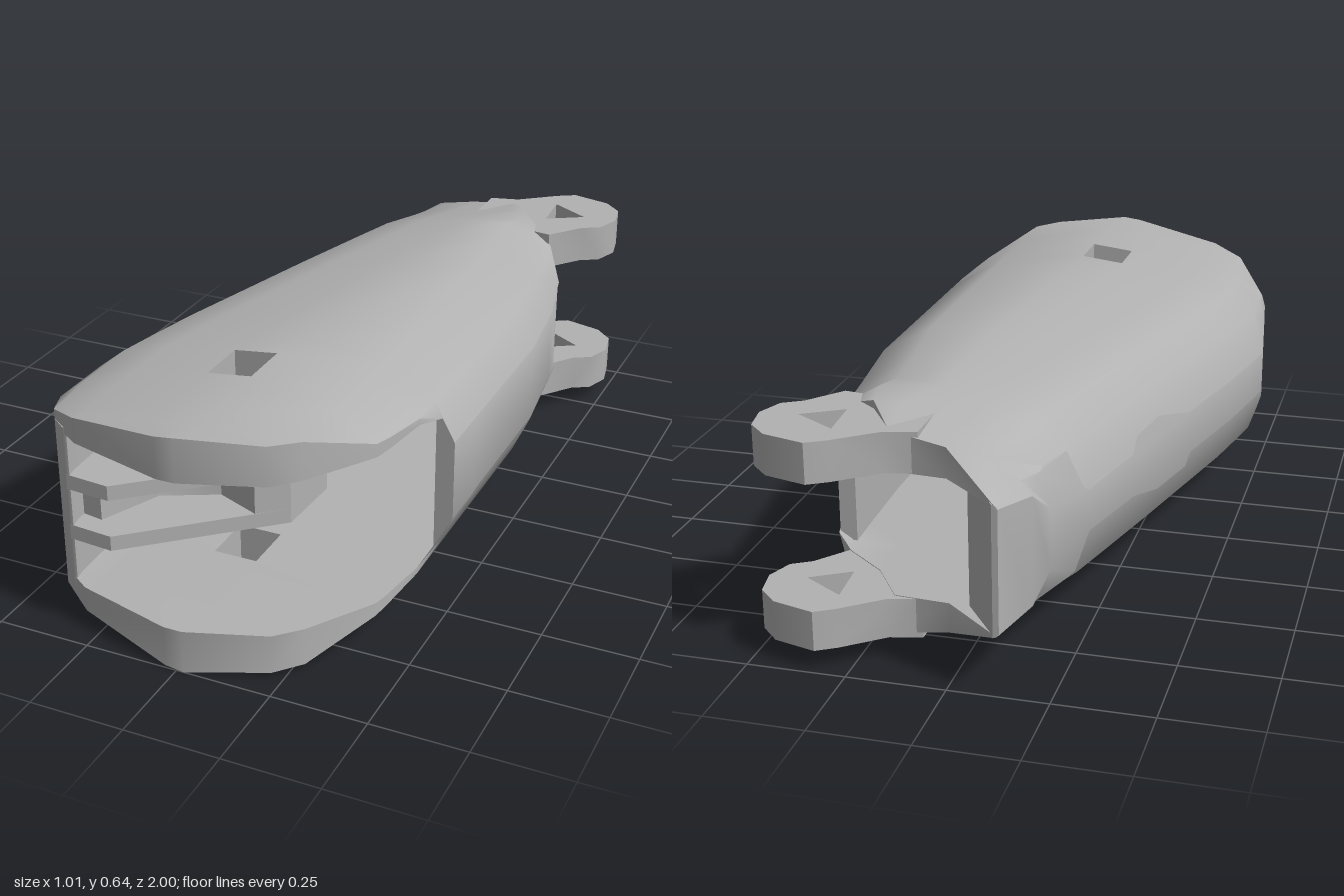
import * as THREE from 'three';
import { toCreasedNormals } from 'three/addons/utils/BufferGeometryUtils.js';

const MID = 0.32; // height of the mirror plane between upper and lower halves
const grey = new THREE.MeshStandardMaterial({ color: 0xb2b2b2 });
grey.name = 'plain grey';

// piecewise linear lookup in [[key, value], ...] with rising keys
function lookup(table, k) {
  if (k <= table[0][0]) return table[0][1];
  for (let i = 1; i < table.length; i++) {
    const [k0, v0] = table[i - 1], [k1, v1] = table[i];
    if (k <= k1) return v0 + (v1 - v0) * (k - k0) / (k1 - k0);
  }
  return table[table.length - 1][1];
}

// side lines of the casing before the nose is rounded off
const leftLine = z => lookup([[-1, -0.13], [-0.8, -0.2], [0.25, -0.46], [0.5, -0.51]], z);
const rightLine = z => lookup([[-0.75, 0.52], [-0.6, 0.425], [-0.45, 0.44], [-0.2, 0.47]], z);
const innerTop = z => lookup([[-0.6, 0.48], [0.42, 0.522]], z);

// rounded height of the outer skin, squarer towards the back tip
const leftCurve = [[0, 0.38], [0.035, 0.5], [0.11, 0.56], [0.23, 0.592], [0.52, 0.638]];
const rightCurve = [[0, 0.43], [0.05, 0.54], [0.19, 0.622], [0.42, 0.638]];
function skin(x, z) {
  const drop = lookup([[-1, 0.05], [-0.6, 0.005], [-0.3, 0]], z);
  const square = lookup([[-1, 0.07], [-0.75, 0]], z);
  return Math.min(lookup(leftCurve, x - leftLine(z) + square), lookup(rightCurve, rightLine(z) - x)) - drop;
}

// joins closed rings, running from front to back, with an optional square hole
function loft(rings, hole) {
  const n = rings[0].length, index = [];
  const quad = (a, b, c, d) => index.push(a, b, c, a, c, d);
  for (let k = 0; k < rings.length - 1; k++) {
    for (let j = 0; j < n; j++) {
      if (hole && k === hole.row && (j === hole.col || j === n - 2 - hole.col)) continue;
      const m = (j + 1) % n;
      quad(k * n + j, k * n + m, (k + 1) * n + m, (k + 1) * n + j);
    }
  }
  const last = (rings.length - 1) * n;
  for (let j = 1; j < n - 1; j++) {
    index.push(0, j + 1, j, last, last + j, last + j + 1);
  }
  if (hole) {
    const r = hole.row * n, s = r + n, c = hole.col;
    const top = [r + c, r + c + 1, s + c + 1, s + c];
    const low = [r + n - 1 - c, r + n - 2 - c, s + n - 2 - c, s + n - 1 - c];
    for (let i = 0; i < 4; i++) {
      const m = (i + 1) % 4;
      quad(top[i], top[m], low[m], low[i]);
    }
  }
  const g = new THREE.BufferGeometry();
  g.setAttribute('position', new THREE.Float32BufferAttribute(rings.flat(2), 3));
  g.setIndex(index);
  return g.toNonIndexed();
}

// lower copy of an upper part
function flip(geometry) {
  const g = geometry.clone();
  const p = g.attributes.position;
  const a = new THREE.Vector3(), b = new THREE.Vector3();
  for (let i = 0; i < p.count; i++) p.setY(i, 2 * MID - p.getY(i));
  for (let i = 0; i < p.count; i += 3) {
    a.fromBufferAttribute(p, i + 1);
    b.fromBufferAttribute(p, i + 2);
    p.setXYZ(i + 1, b.x, b.y, b.z);
    p.setXYZ(i + 2, a.x, a.y, a.z);
  }
  return g;
}

// flat plate with a hole, from plan outlines of [x, z] points
function plate(points, y0, y1, holePoints) {
  const vec = list => list.map(([x, z]) => new THREE.Vector2(x, z));
  const shape = new THREE.Shape(vec(points));
  shape.holes.push(new THREE.Path(vec(holePoints)));
  const g = new THREE.ExtrudeGeometry(shape, { depth: y1 - y0, bevelEnabled: false });
  g.rotateX(Math.PI / 2);
  g.translate(0, y1, 0);
  return g;
}

function coverPlate() {
  // z, left edge, right edge
  const stations = [
    [1, -0.03, 0.02], [0.93, -0.29, 0.22], [0.87, -0.38, 0.28], [0.7, -0.485, 0.39],
    [0.65, -0.492, 0.4], [0.51, -0.51, 0.42], [0.41, -0.492, 0.44], [0.4, -0.49, 0.47],
    [0.25, -0.46, 0.47], [-0.2, -0.35, 0.47], [-0.45, -0.29, 0.44], [-0.6, -0.25, 0.41],
    [-0.65, -0.237, 0.36], [-0.74, -0.215, 0.25], [-0.86, -0.18, 0.17],
    [-0.87, -0.175, 0.03], [-1, -0.13, -0.12],
  ];
  const rings = stations.map(([z, xl, xr]) => {
    const L = leftLine(z), R = rightLine(z);
    const a = L + 0.23, b = R - 0.19;
    const xs = [L, L + 0.035, L + 0.11, a, a + (b - a) * 0.36, a + (b - a) * 0.57, b, R - 0.05, R]
      .map(x => THREE.MathUtils.clamp(x, xl, xr));
    const upper = xs.map(x => [x, skin(x, z), z]);
    const lower = xs.map(x => [x, Math.min(innerTop(z), skin(x, z)), z]).reverse();
    return [...upper, ...lower];
  });
  return loft(rings, { row: 4, col: 4 });
}

// full-height wall under the covers; stations are z, left x, right x
function wall(stations) {
  return loft(stations.map(([z, x0, x1]) => {
    const L = leftLine(z), R = rightLine(z);
    const xs = [x0, L + 0.035, L + 0.11, R - 0.05, x1].map(x => THREE.MathUtils.clamp(x, x0, x1));
    const upper = xs.map(x => [x, Math.min(skin(x, z), innerTop(z) + 0.02) - 0.003, z]);
    return [...upper, ...upper.map(([x, y]) => [x, 2 * MID - y, z]).reverse()];
  }));
}

export function createModel() {
  const model = new THREE.Group();
  model.name = 'hollowArmLink';
  const add = (name, geometry, parent = model) => {
    const mesh = new THREE.Mesh(toCreasedNormals(geometry, 0.7), grey);
    mesh.name = name;
    parent.add(mesh);
  };

  // upper and lower covers with pin holes
  const cover = coverPlate();
  add('upperCover', cover);
  add('lowerCover', flip(cover));

  // side walls; the right-hand one leaves the nose open
  add('longSideWall', wall([
    [0.9, -0.34, -0.33], [0.87, -0.38, -0.335], [0.7, -0.485, -0.34], [0.58, -0.501, -0.34],
    [0.51, -0.51, -0.29], [0.41, -0.492, -0.25], [0.25, -0.46, -0.25], [-0.2, -0.35, -0.16],
    [-0.6, -0.25, -0.07], [-0.8, -0.2, -0.03], [-0.87, -0.175, -0.02], [-1, -0.13, -0.115],
  ]));
  add('shortSideWall', wall([
    [0.4, 0.42, 0.47], [0.25, 0.4, 0.47], [-0.2, 0.39, 0.47], [-0.45, 0.375, 0.44], [-0.59, 0.365, 0.41],
  ]));

  // hinge ears at the back
  const ear = plate(
    [[0.1, -0.68], [0.36, -0.64], [0.43, -0.73], [0.48, -0.76], [0.505, -0.83], [0.49, -0.91],
      [0.44, -0.96], [0.33, -0.99], [0.28, -0.96], [0.18, -0.88], [0.1, -0.86]],
    0.482, 0.585,
    [[0.3, -0.89], [0.41, -0.82], [0.31, -0.76]]);
  add('upperEar', ear);
  add('lowerEar', flip(ear));

  // forked clevis inside the nose, bored for a pin
  const clevis = new THREE.Group();
  clevis.name = 'clevis';
  model.add(clevis);
  const bore = [];
  for (let i = 0; i < 6; i++) {
    const t = i * Math.PI / 3;
    bore.push([-0.02 + 0.045 * Math.cos(t), 0.56 + 0.045 * Math.sin(t)]);
  }
  const prong = plate(
    [[-0.42, 0.35], [-0.4, 0.84], [-0.34, 0.9], [-0.22, 0.91], [0.12, 0.61], [0.13, 0.42], [-0.15, 0.36]],
    0.37, 0.41, bore);
  add('upperProng', prong, clevis);
  add('lowerProng', flip(prong), clevis);
  add('web', plate(
    [[-0.42, 0.35], [-0.4, 0.83], [-0.28, 0.85], [-0.21, 0.69], [-0.07, 0.62], [0.05, 0.67],
      [0.12, 0.61], [0.13, 0.42], [-0.15, 0.36]],
    0.27, 0.37, bore), clevis);

  return model;
}
